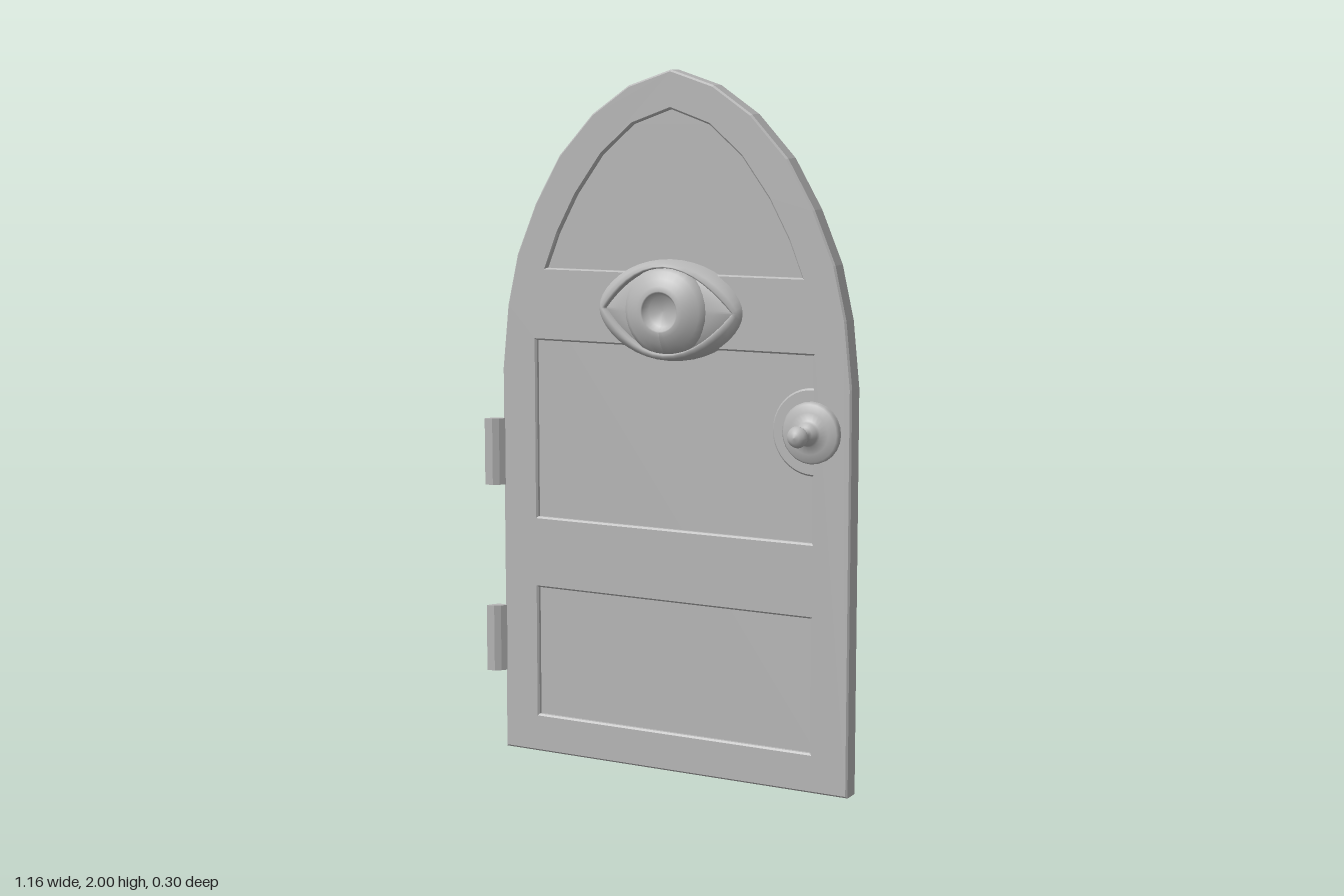
import * as THREE from 'three';

const CX = 0.021; // centre line of the door leaf

// Mirrors a list of [halfWidth, y] points (bottom to apex) into a closed outline
function archShape(half, Type = THREE.Shape) {
  const right = half.map(([x, y]) => new THREE.Vector2(CX + x, y));
  const left = half.slice(0, -1).reverse().map(([x, y]) => new THREE.Vector2(CX - x, y));
  return new Type([...right, ...left]);
}

function rectPath(x0, y0, x1, y1) {
  return new THREE.Path([[x0, y0], [x1, y0], [x1, y1], [x0, y1]].map(p => new THREE.Vector2(...p)));
}

// Skins closed loops of points, counter-clockwise seen from the front, from outside to inside
function loft(loops) {
  const n = loops[0].length, index = [];
  for (let r = 0; r < loops.length - 1; r++) {
    for (let i = 0; i < n; i++) {
      const a = r * n + i, b = r * n + (i + 1) % n;
      index.push(a, b, b + n, a, b + n, a + n);
    }
  }
  const g = new THREE.BufferGeometry();
  g.setAttribute('position', new THREE.Float32BufferAttribute(loops.flat(2), 3));
  g.setIndex(index);
  g.computeVertexNormals();
  return g;
}

export function createModel() {
  const group = new THREE.Group();
  const gray = new THREE.MeshStandardMaterial({ color: 0xb8b8b8 });
  gray.name = 'plain gray';
  const add = (name, geometry, parent = group) => {
    const mesh = new THREE.Mesh(geometry, gray);
    mesh.name = name;
    parent.add(mesh);
    return mesh;
  };

  // Door frame: pointed arch with three panel openings
  const outline = [[0.556, 0], [0.556, 1.14], [0.537, 1.326], [0.503, 1.475], [0.44, 1.623],
    [0.36, 1.76], [0.25, 1.878], [0.133, 1.957], [0, 2]];
  const frame = archShape(outline);
  frame.holes.push(
    archShape([[0.406, 1.438], [0.365, 1.54], [0.305, 1.65], [0.22, 1.765], [0.12, 1.85], [0, 1.892]], THREE.Path),
    rectPath(-0.42, 0.113, 0.462, 0.497));

  // Middle opening, with a round notch left for the knob
  const knobX = 0.462, knobY = 1.017;
  const middle = new THREE.Path();
  middle.moveTo(-0.42, 0.708);
  middle.lineTo(knobX, 0.708);
  middle.lineTo(knobX, knobY - 0.122);
  middle.absarc(knobX, knobY, 0.122, -Math.PI / 2, -Math.PI * 1.5, true);
  middle.lineTo(knobX, 1.228);
  middle.lineTo(-0.42, 1.228);
  frame.holes.push(middle);

  const bevel = 0.005;
  const frameGeo = new THREE.ExtrudeGeometry(frame, {
    depth: 0.058 - 2 * bevel, bevelEnabled: true, bevelSize: bevel, bevelThickness: bevel,
    bevelOffset: -bevel, bevelSegments: 1, curveSegments: 10 });
  frameGeo.translate(0, 0, -0.029 + bevel);
  add('doorFrame', frameGeo);

  // Recessed panels: one thin core sheet behind the openings
  const core = archShape([[0.5, 0.05], [0.5, 1.14], [0.46, 1.4], [0.36, 1.66], [0.2, 1.85], [0, 1.95]]);
  const coreGeo = new THREE.ExtrudeGeometry(core, { depth: 0.03, bevelEnabled: false });
  coreGeo.translate(0, 0, -0.015);
  add('recessedPanels', coreGeo);

  // Hinges: bent leaf section extruded upwards
  const hinge = new THREE.Shape([[-0.525, -0.024], [-0.54, -0.045], [-0.556, -0.057], [-0.58, -0.06],
    [-0.573, -0.043], [-0.56, -0.024]].reverse().map(p => new THREE.Vector2(...p)));
  for (const [name, y] of [['lowerHinge', 0.235], ['upperHinge', 0.795]]) {
    const g = new THREE.ExtrudeGeometry(hinge, { depth: 0.197, bevelEnabled: false });
    g.rotateX(-Math.PI / 2);
    add(name, g).position.y = y;
  }

  // Knobs: rosette, neck and rounded grip on both faces
  const knobProfile = [[0.086, 0], [0.086, 0.04], [0.08, 0.047], [0.058, 0.053], [0.036, 0.058], [0.032, 0.068],
    [0.022, 0.08], [0.015, 0.085], [0.015, 0.116], [0.028, 0.119], [0.03, 0.126], [0.025, 0.138],
    [0.014, 0.146], [0, 0.149]].map(p => new THREE.Vector2(...p));
  for (const side of [1, -1]) {
    const g = new THREE.LatheGeometry(knobProfile, 24);
    g.rotateX(side * Math.PI / 2);
    add(side > 0 ? 'frontKnob' : 'backKnob', g).position.set(knobX, knobY, 0);
  }

  // Eye ornament
  const eye = new THREE.Group();
  eye.name = 'eyeOrnament';
  eye.position.set(CX, 1.333, 0);
  group.add(eye);
  const N = 40;
  // Outline between an ellipse (point = 0) and a pointed almond (point = 1), rising towards the middle
  const ring = (a, h, point, zEnd, zMid) => Array.from({ length: N }, (_, i) => {
    const t = i / N * Math.PI * 2, s = Math.sin(t);
    const y = h * ((1 - point) * s + point * s * Math.abs(s));
    return [a * Math.cos(t), y, zEnd + (zMid - zEnd) * s * s];
  });
  add('eyelids', loft([
    ring(0.23, 0.143, 0.15, 0.02, 0.02),
    ring(0.226, 0.141, 0.25, 0.034, 0.04),
    ring(0.217, 0.134, 0.6, 0.046, 0.066),
    ring(0.208, 0.126, 0.9, 0.05, 0.074),
    ring(0.203, 0.122, 1, 0.046, 0.07),
    ring(0.2, 0.119, 1, 0.036, 0.045),
  ]), eye);
  add('eyeWhite', loft([
    ring(0.203, 0.122, 1, 0.036, 0.046),
    ring(0.15, 0.1, 0.7, 0.054, 0.06),
    ring(0.06, 0.06, 0, 0.066, 0.066),
    ring(0, 0, 0, 0.066, 0.066),
  ]), eye);

  // Bulging iris with a sunken pupil
  const irisProfile = [[0.128, 0.045], [0.126, 0.06], [0.112, 0.071], [0.092, 0.084], [0.072, 0.093],
    [0.058, 0.096], [0.054, 0.094], [0.043, 0.074], [0, 0.072]].map(p => new THREE.Vector2(...p));
  const iris = new THREE.LatheGeometry(irisProfile, 32);
  iris.rotateX(Math.PI / 2);
  // Keep the iris inside the lid opening
  const pos = iris.attributes.position;
  for (let i = 0; i < pos.count; i++) {
    const limit = 0.12 * (1 - (pos.getX(i) / 0.205) ** 2);
    pos.setY(i, THREE.MathUtils.clamp(pos.getY(i), -limit, limit));
  }
  iris.computeVertexNormals();
  add('iris', iris, eye);

  return group;
}
